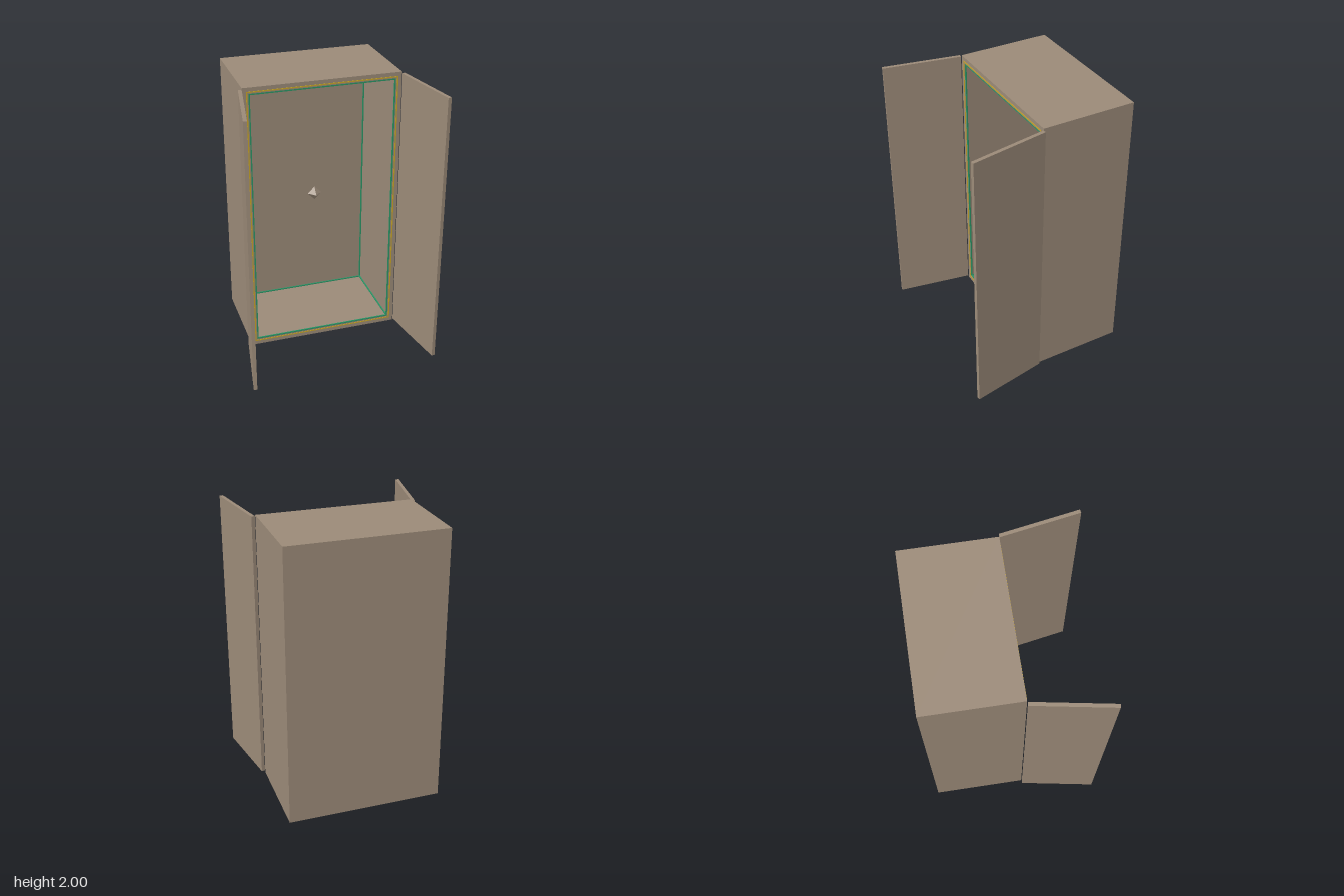
import * as THREE from 'three';

const brown = new THREE.MeshStandardMaterial({ color: 0x9b8a78 });
brown.name = 'taupe';
const gold = new THREE.MeshStandardMaterial({ color: 0xc8a528 });
gold.name = 'gold';
const green = new THREE.MeshStandardMaterial({ color: 0x2a9566 });
green.name = 'green';

const HEIGHT = 2, HALF_W = 0.555, BACK = -0.605, FRONT = 0.058;
const IN_X = 0.512, IN_Y = 0.956, IN_BACK = -0.56; // cavity half sizes and depth
const MID_Y = HEIGHT / 2;

function addMesh(parent, name, geometry, material, x = 0, y = 0, z = 0) {
  const mesh = new THREE.Mesh(geometry, material);
  mesh.name = name;
  mesh.position.set(x, y, z);
  parent.add(mesh);
  return mesh;
}

function addBox(parent, name, size, position, material) {
  return addMesh(parent, name, new THREE.BoxGeometry(...size), material, ...position);
}

// Rectangular ring, extruded along +z
function frameGeometry(halfW, halfH, holeW, holeH, depth) {
  const rect = (path, w, h) => path.moveTo(-w, -h).lineTo(w, -h).lineTo(w, h).lineTo(-w, h).closePath();
  const shape = new THREE.Shape();
  rect(shape, halfW, halfH);
  const hole = new THREE.Path();
  rect(hole, holeW, holeH);
  shape.holes.push(hole);
  return new THREE.ExtrudeGeometry(shape, { depth, bevelEnabled: false });
}

export function createModel() {
  const model = new THREE.Group();
  model.name = 'cabinet';

  // Hollow case: walls around the cavity and a back panel
  addMesh(model, 'caseWalls', frameGeometry(HALF_W, MID_Y, IN_X, IN_Y, FRONT - BACK), brown, 0, MID_Y, BACK);
  const backDepth = IN_BACK - BACK;
  addBox(model, 'backPanel', [IN_X * 2, IN_Y * 2, backDepth], [0, MID_Y, BACK + backDepth / 2], brown);

  // Gold line around the opening
  addMesh(model, 'goldTrim', frameGeometry(0.528, 0.972, 0.52, 0.964, 0.005), gold, 0, MID_Y, FRONT - 0.002);

  // Green strips along the twelve inner edges of the cavity
  const strips = new THREE.Group();
  strips.name = 'greenTrim';
  model.add(strips);
  const T = 0.009, ex = IN_X - T / 2, ey = IN_Y - T / 2;
  const zs = [IN_BACK + T / 2, FRONT - T / 2];
  for (const z of zs) {
    for (const s of [-1, 1]) {
      addBox(strips, 'uprightStrip', [T, IN_Y * 2, T], [s * ex, MID_Y, z], green);
      addBox(strips, 'crossStrip', [(IN_X - T) * 2, T, T], [0, MID_Y + s * ey, z], green);
    }
  }
  for (const sx of [-1, 1]) {
    for (const sy of [-1, 1]) {
      addBox(strips, 'depthStrip', [T, T, FRONT - IN_BACK - 2 * T],
        [sx * ex, MID_Y + sy * ey, (FRONT + IN_BACK) / 2], green);
    }
  }

  // Open doors, swung slightly outwards
  for (const s of [-1, 1]) {
    const door = addBox(model, s > 0 ? 'leftDoor' : 'rightDoor', [0.025, 1.976, 0.55],
      [s * 0.6165, 1.002, 0.332], brown);
    door.rotation.y = s * THREE.MathUtils.degToRad(10);
  }

  // Faceted gem floating in the cavity
  addMesh(model, 'gem', new THREE.OctahedronGeometry(0.05), brown, 0, 1.07, -0.16);

  return model;
}
